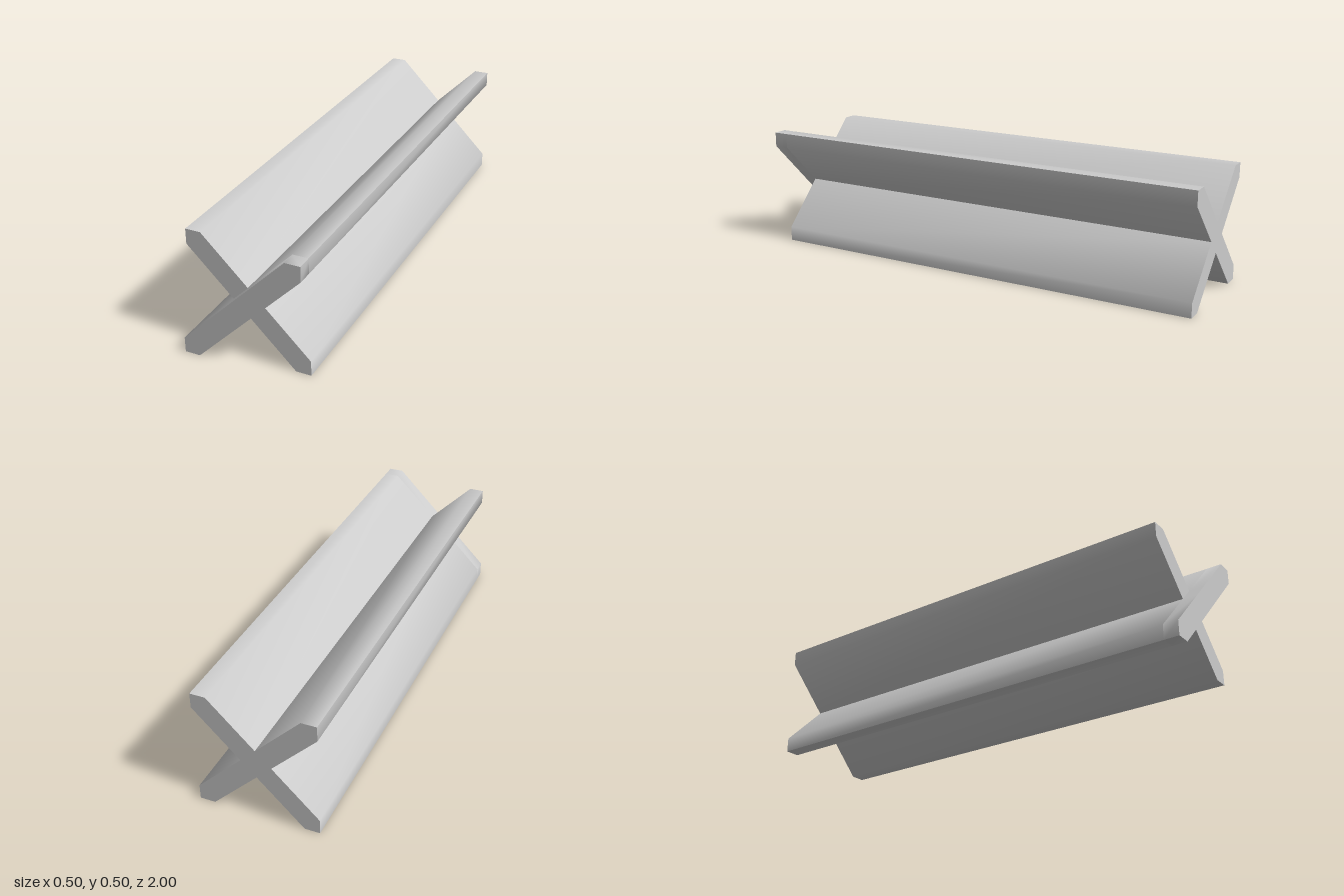
import * as THREE from 'three';
import { toCreasedNormals } from 'three/addons/utils/BufferGeometryUtils.js';

export function createModel() {
  const group = new THREE.Group();
  group.name = 'crossBeam';
  const grey = new THREE.MeshStandardMaterial({ color: 0xcccccc });
  grey.name = 'plain grey';

  const H = 0.25;   // half of the cross-section
  const T = 0.0625; // half thickness of a plank measured along an axis

  // Extrudes a profile centred on the beam axis between two depths
  function addPrism(name, points, back, front) {
    const shape = new THREE.Shape(points.map(([x, y]) => new THREE.Vector2(x, y)));
    const geo = new THREE.ExtrudeGeometry(shape, { depth: front - back, bevelEnabled: false });
    // Shallow 45 degree corners are smooth, right-angled ones sharp
    const mesh = new THREE.Mesh(toCreasedNormals(geo, 1.0), grey);
    mesh.position.set(0, H, back);
    mesh.name = name;
    group.add(mesh);
  }

  // X section: each quarter is one clipped arm end plus an inner corner
  const cross = [];
  for (let i = 0; i < 4; i++) {
    const c = [1, 0, -1, 0][i], s = [0, 1, 0, -1][i];
    for (const [x, y] of [[T, 0], [H, H - T], [H, H], [H - T, H]]) {
      cross.push([x * c - y * s, x * s + y * c]);
    }
  }
  addPrism('crossedPlanks', cross, -1, 1 - T);

  // Rising plank reaches slightly further forward than the falling one
  const half = [[T, 0], [H, H - T], [H, H], [H - T, H], [0, T]];
  const plank = [...half, ...half.map(([x, y]) => [-x, -y])];
  addPrism('risingPlankFront', plank, 1 - T, 1);

  return group;
}
